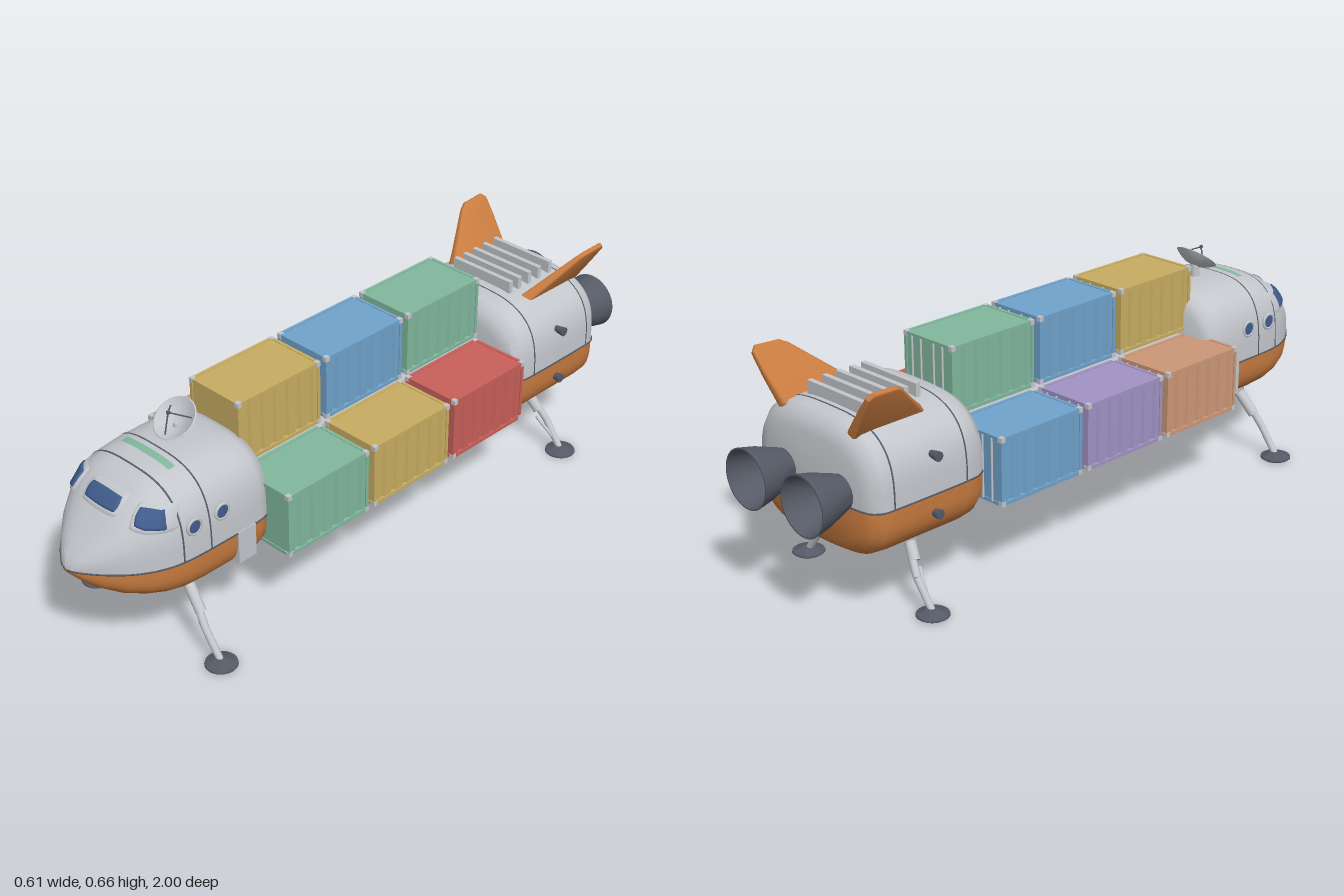
import * as THREE from 'three';
import { toCreasedNormals } from 'three/addons/utils/BufferGeometryUtils.js';

const SPLIT = 0.335; // height where grey hull meets orange belly
const POWER = 3.1;   // squareness of the hull cross-sections

// Hull stations, front to back: z, half width, top, bottom
const CABIN = [
  [1, 0, .335, .335], [.995, .02, .35, .322], [.98, .045, .37, .305], [.95, .085, .402, .275],
  [.9, .135, .455, .245], [.85, .168, .506, .225], [.8, .188, .538, .21], [.75, .197, .553, .2],
  [.68, .2, .56, .196], [.55, .2, .56, .196], [.5, .198, .553, .199], [.47, .19, .54, .21],
  [.455, .17, .51, .23], [.455, 0, .335, .335],
];
const ENGINE_BAY = [
  [-.48, 0, .335, .335], [-.48, .19, .49, .22], [-.49, .225, .525, .195], [-.52, .242, .545, .18],
  [-.56, .246, .55, .175], [-.8, .246, .55, .175], [-.84, .243, .545, .178], [-.865, .225, .525, .195],
  [-.876, .19, .49, .22], [-.876, 0, .335, .335],
];

function stationAt(table, z) {
  let i = 0;
  while (i < table.length - 2 && table[i + 1][0] > z) i++;
  const [a, b] = [table[i], table[i + 1]];
  const t = (a[0] - z) / (a[0] - b[0] || 1);
  return a.map((v, k) => v + (b[k] - v) * t);
}

// Skin through half superellipses, upper (side 1) or lower (side -1)
function loft(table, side, steps = 32) {
  const pos = [], index = [], row = steps + 1;
  const pw = (v) => Math.sign(v) * Math.abs(v) ** (2 / POWER);
  table.forEach(([z, w, top, bottom]) => {
    const h = side > 0 ? top - SPLIT : SPLIT - bottom;
    for (let j = 0; j <= steps; j++) {
      const a = (j / steps) * Math.PI;
      const c = j === 0 ? 1 : j === steps ? -1 : pw(Math.cos(a));
      const s = j % steps === 0 ? 0 : pw(Math.sin(a));
      pos.push(side * w * c, SPLIT + side * h * s, z);
    }
  });
  for (let i = 0; i < table.length - 1; i++) {
    for (let j = 0; j < steps; j++) {
      const a = i * row + j, b = a + row;
      index.push(a, b, a + 1, b, b + 1, a + 1);
    }
  }
  const g = new THREE.BufferGeometry();
  g.setAttribute('position', new THREE.Float32BufferAttribute(pos, 3));
  g.setIndex(index);
  return toCreasedNormals(g, 0.75);
}

// Point on the cabin's nose for a given x and y, lifted outward
function onNose(x, y, lift) {
  let lo = .6, hi = 1;
  for (let i = 0; i < 30; i++) {
    const z = (lo + hi) / 2, [, w, top] = stationAt(CABIN, z);
    const f = (Math.abs(x) / w) ** POWER + (Math.abs(y - SPLIT) / (top - SPLIT)) ** POWER;
    if (f < 1) lo = z; else hi = z;
  }
  const p = new THREE.Vector3(x, y, lo);
  return p.addScaledVector(p.clone().sub(new THREE.Vector3(0, .36, .62)).normalize(), lift);
}

// Rounded quad pressed onto the nose; corners: top left, top right, bottom right, bottom left
function nosePatch(corners, grow, lift) {
  const g = new THREE.PlaneGeometry(2, 2, 14, 10), p = g.attributes.position;
  const cx = corners.reduce((s, c) => s + c[0], 0) / 4, cy = corners.reduce((s, c) => s + c[1], 0) / 4;
  const q = corners.map(([x, y]) => [x + Math.sign(x - cx) * grow, y + Math.sign(y - cy) * grow]);
  for (let i = 0; i < p.count; i++) {
    const u0 = p.getX(i), v0 = p.getY(i);
    const u = (u0 * Math.sqrt(1 - .2 * v0 * v0) + 1) / 2, v = (v0 * Math.sqrt(1 - .2 * u0 * u0) + 1) / 2;
    const mix = (k) => (q[0][k] * (1 - u) + q[1][k] * u) * v + (q[3][k] * (1 - u) + q[2][k] * u) * (1 - v);
    const rim = Math.abs(u0) > .99 || Math.abs(v0) > .99;
    p.setXYZ(i, ...onNose(mix(0), mix(1), rim ? -.002 : lift).toArray());
  }
  g.computeVertexNormals();
  return g;
}

const lathe = (points, n = 32) =>
  toCreasedNormals(new THREE.LatheGeometry(points.map((p) => new THREE.Vector2(...p)), n), 0.6);

export function createModel() {
  const root = new THREE.Group();
  const mat = (name, color) => Object.assign(new THREE.MeshStandardMaterial({ color }), { name });
  const hull = mat('hull grey', 0xc3c6cb), orange = mat('belly orange', 0xc97c40), dark = mat('dark metal', 0x555a66);
  const glass = mat('window blue', 0x405c8c), green = mat('green', 0x82b89e), yellow = mat('yellow', 0xc8ad62);
  const red = mat('red', 0xc9605a), blue = mat('blue', 0x70a3cb), purple = mat('purple', 0xa193c5), tan = mat('tan', 0xcc9878);

  const add = (name, g, m, pos = [0, 0, 0], parent = root) => {
    const mesh = new THREE.Mesh(g, m);
    mesh.name = name;
    mesh.position.set(...pos);
    parent.add(mesh);
    return mesh;
  };
  const box = (name, size, pos, m, parent) => add(name, new THREE.BoxGeometry(...size), m, pos, parent);
  const rod = (name, a, b, r1, r2, m, parent) => {
    const A = new THREE.Vector3(...a), d = new THREE.Vector3(...b).sub(A);
    const mesh = add(name, new THREE.CylinderGeometry(r2, r1, d.length(), 16), m, A.clone().addScaledVector(d, .5).toArray(), parent);
    mesh.quaternion.setFromUnitVectors(new THREE.Vector3(0, 1, 0), d.normalize());
    return mesh;
  };

  // Hulls with waistline and panel seams
  for (const [name, table, seams] of [['cabin', CABIN, [.768, .68]], ['engineBay', ENGINE_BAY, [-.565, -.81]]]) {
    add(name + 'Upper', loft(table, 1), hull);
    add(name + 'Belly', loft(table, -1), orange);
    const line = [...table.slice(1, -1).map(([z, w]) => new THREE.Vector3(w, SPLIT, z)),
      ...table.slice(1, -1).reverse().map(([z, w]) => new THREE.Vector3(-w, SPLIT, z))];
    add(name + 'Waistline', new THREE.TubeGeometry(new THREE.CatmullRomCurve3(line, true, 'centripetal'), 120, .0025, 6, true), dark);
    for (const z of seams) {
      const band = [.0025, -.0025].map((d) => {
        const [, w, top, bottom] = stationAt(table, z + d);
        return [z + d, w + .002, top + .002, bottom];
      });
      add(name + 'Seam', loft(band, 1), dark);
    }
  }

  // Cockpit windows
  const side = [[.106, .507], [.158, .5], [.183, .442], [.118, .462]];
  const flip = ([x, y]) => [-x, y];
  const panes = [[[-.066, .513], [.066, .513], [.066, .475], [-.066, .475]], side,
    [side[1], side[0], side[3], side[2]].map(flip)];
  for (const c of panes) {
    add('windowFrame', nosePatch(c, .009, .004), hull);
    add('window', nosePatch(c, 0, .008), glass);
  }

  // Green roof marker following the cabin's curve
  const strip = new THREE.PlaneGeometry(.19, .022, 16, 1).rotateX(-Math.PI / 2), sp = strip.attributes.position;
  for (let i = 0; i < sp.count; i++) {
    const z = sp.getZ(i) + .711, [, w, top] = stationAt(CABIN, z);
    sp.setXYZ(i, sp.getX(i), SPLIT + (top - SPLIT) * (1 - (Math.abs(sp.getX(i)) / w) ** POWER) ** (1 / POWER) + .005, z);
  }
  strip.computeVertexNormals();
  add('roofMarker', strip, green);

  // Dish antenna
  rod('dishMast', [0, .55, .61], [0, .598, .605], .016, .012, hull);
  const dish = new THREE.Group();
  dish.name = 'dishAntenna';
  dish.position.set(0, .595, .598);
  dish.rotation.x = .645;
  root.add(dish);
  add('dish', lathe([[0, 0], [.03, .006], [.05, .016], [.065, .028], [.062, .03], [.03, .01], [0, .005]]), hull, [0, 0, 0], dish);
  for (let i = 0; i < 3; i++) {
    const a = (i / 3) * Math.PI * 2;
    rod('feedStrut', [Math.sin(a) * .05, .02, Math.cos(a) * .05], [0, .062, 0], .002, .002, dark, dish);
  }
  add('feedHorn', new THREE.SphereGeometry(.006, 12, 8), dark, [0, .062, 0], dish);

  for (const s of [1, -1]) {
    // Portholes and side hatch
    for (const z of [.73, .635]) {
      add('portholeRim', new THREE.TorusGeometry(.022, .005, 8, 28).rotateY(Math.PI / 2), hull, [s * .195, .43, z]);
      add('porthole', new THREE.CylinderGeometry(.021, .021, .014, 28).rotateZ(Math.PI / 2), glass, [s * .191, .43, z]);
    }
    box('sideHatch', [.03, .1, .062], [s * .188, .288, .557], hull);

    // Attitude thrusters
    for (const y of [.445, .283]) {
      rod('thruster', [s * .225, y, -.675], [s * .265, y, -.675], .008, .014, dark);
    }

    // Main engines
    const bell = lathe([[.045, 0], [.055, .03], [.074, .085], [.085, .135], [.081, .135], [.068, .085], [.045, .03], [0, .025]], 40);
    add('engineBell', bell.rotateX(-Math.PI / 2), dark, [s * .115, .365, -.865]);

    // Tail fins: swept outline, thinner toward the tip
    const outline = new THREE.Shape([[.62, 0], [.66, .035], [.765, .145], [.785, .158], [.855, .162], [.866, .15], [.862, .09], [.85, 0]]
      .map((p) => new THREE.Vector2(...p)));
    const fin = new THREE.ExtrudeGeometry(outline, { depth: .012, bevelThickness: .007, bevelSize: .007, bevelSegments: 3 });
    fin.translate(0, 0, -.006);
    const fp = fin.attributes.position;
    for (let i = 0; i < fp.count; i++) fp.setZ(i, fp.getZ(i) * (1.25 - 4 * fp.getY(i)));
    const lean = s * .62, sx = Math.sin(lean), cy = Math.cos(lean);
    fin.applyMatrix4(new THREE.Matrix4().makeBasis(new THREE.Vector3(0, 0, -1), new THREE.Vector3(sx, cy, 0), new THREE.Vector3(cy, -sx, 0)));
    add('tailFin', toCreasedNormals(fin, .6), orange, [s * .141, .523, 0]);

    // Landing legs
    for (const [hipX, hipY, hipZ, footZ] of [[.108, .2, .695, .715], [.135, .182, -.675, -.705]]) {
      const leg = new THREE.Group();
      leg.name = 'landingLeg';
      root.add(leg);
      const knee = [s * .175, .125, (hipZ + footZ) / 2];
      rod('legSocket', [s * hipX, hipY - .012, hipZ], [s * hipX, hipY + .02, hipZ], .024, .028, hull, leg);
      rod('upperLeg', [s * hipX, hipY, hipZ], knee, .016, .016, hull, leg);
      rod('lowerLeg', [s * .16, .145, knee[2]], [s * .2, .09, footZ], .011, .011, hull, leg);
      rod('ankle', [s * .2, .09, footZ], [s * .255, .015, footZ], .011, .01, hull, leg);
      rod('legActuator', [s * .18, .105, knee[2] + .012], [s * .245, .03, footZ], .005, .005, hull, leg);
      add('footPad', lathe([[0, 0], [.04, 0], [.046, .004], [.045, .009], [.025, .015], [.014, .021], [0, .021]]), dark, [s * .259, 0, footZ], leg);
    }
  }

  // Cooling louvres on the engine bay roof
  for (const z of [-.605, -.645, -.69, -.735, -.785]) box('louvre', [.22, .045, .015], [0, .56, z], hull);

  // Central spine carrying the cargo
  box('spine', [.18, .165, .97], [0, .3475, 0], hull);

  // Cargo containers with grooved sides, frame, corner blocks and door rods
  const W = .19, H = .195, L = .302;
  const wall = [];
  for (let k = 0; k < 6; k++) {
    const c = (k - 2.5) * .046, w = W / 2 - .003;
    wall.push([w, c - .011], [w - .008, c - .006], [w - .008, c + .006], [w, c + .011]);
  }
  const half = [[W / 2 - .003, -L / 2 + .003], ...wall, [W / 2 - .003, L / 2 - .003]];
  const plan = [...half, ...half.map(([x, y]) => [-x, y]).reverse()].map((p) => new THREE.Vector2(...p));
  const shell = new THREE.ExtrudeGeometry(new THREE.Shape(plan), { depth: H - .004, bevelEnabled: false })
    .rotateX(-Math.PI / 2).translate(0, -H / 2 + .002, 0);

  function container(m, x, y, z) {
    const g = new THREE.Group();
    g.name = 'cargoContainer';
    g.position.set(x, y, z);
    root.add(g);
    add('containerShell', shell, m, [0, 0, 0], g);
    const t = .01, ex = (W - t) / 2, ey = (H - t) / 2, ez = (L - t) / 2;
    for (const a of [1, -1]) for (const b of [1, -1]) {
      box('framePost', [t, H, t], [a * ex, 0, b * ez], m, g);
      box('frameRail', [t, t, L], [a * ex, b * ey, 0], m, g);
      box('frameBeam', [W, t, t], [0, a * ey, b * ez], m, g);
      for (const c of [1, -1]) box('cornerBlock', [.014, .014, .014], [a * (ex - .001), b * (ey - .001), c * (ez - .001)], hull, g);
    }
    for (const rx of [-.06, -.025, .025, .06]) rod('doorRod', [rx, -.09, -L / 2 - .002], [rx, .09, -L / 2 - .002], .003, .003, hull, g);
  }
  const rows = [[tan, yellow, green], [purple, blue, yellow], [blue, green, red]];
  rows.forEach(([starboard, upper, port], i) => {
    const z = .328 - i * .325;
    container(starboard, -.185, .338, z);
    container(upper, 0, .542, z);
    container(port, .185, .338, z);
  });

  return root;
}
